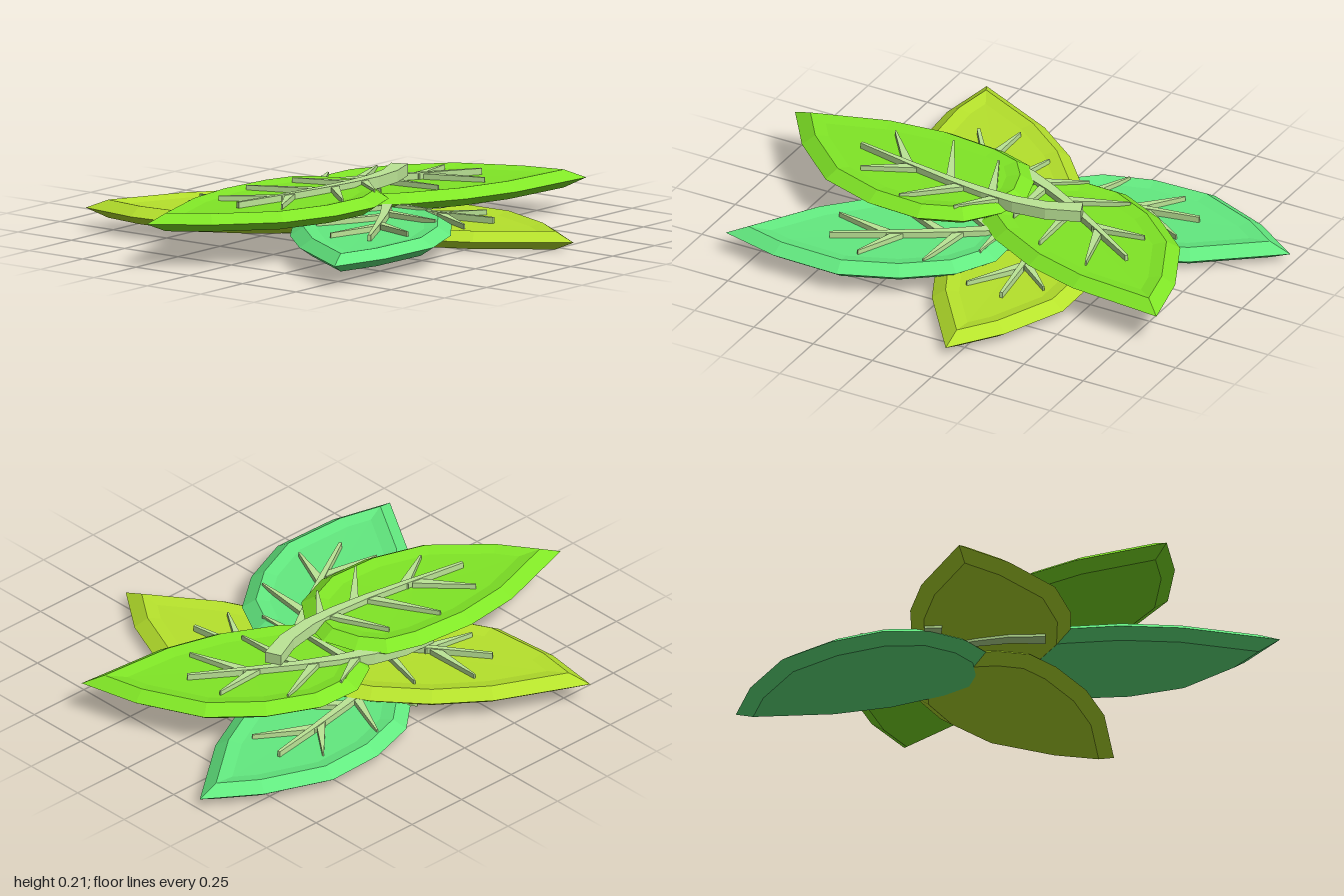
import * as THREE from 'three';

// Leaf outline: x runs from the tip to the base, y is the sideways offset
const OUTLINE = [
  [0, 0], [0.17, 0.17], [0.4, 0.315], [0.63, 0.35], [0.84, 0.325], [0.99, 0.235], [1.06, 0.1],
  [1.07, -0.03], [1.01, -0.15], [0.92, -0.235], [0.78, -0.255], [0.55, -0.237], [0.33, -0.173],
];
const CENTRE = [0.62, 0.05];

// Mitred inward offset of the outline
function inset(points, d) {
  const n = points.length;
  const inward = (a, b) => {
    const dx = b[0] - a[0], dz = b[1] - a[1], l = Math.hypot(dx, dz);
    return [-dz / l, dx / l].map((c) => -c);
  };
  return points.map((p, i) => {
    const a = inward(points[(i + n - 1) % n], p);
    const b = inward(p, points[(i + 1) % n]);
    const k = d / (1 + a[0] * b[0] + a[1] * b[1]);
    return [p[0] + (a[0] + b[0]) * k, p[1] + (a[1] + b[1]) * k];
  });
}

// Bevelled blade made of stacked loops, with a shallow dish on top
function bladeGeometry() {
  const n = OUTLINE.length;
  const loops = [
    [inset(OUTLINE, 0.05), 0],
    [OUTLINE, 0.035],
    [inset(OUTLINE, 0.05), 0.068],
    [inset(OUTLINE, 0.1), 0.058],
  ];
  const pos = [], index = [];
  loops.forEach(([pts, y]) => pts.forEach(([u, v]) => pos.push(u, y, v)));
  const under = loops.length * n, over = under + 1, last = (loops.length - 1) * n;
  pos.push(CENTRE[0], 0, CENTRE[1], CENTRE[0], 0.055, CENTRE[1]);
  for (let i = 0; i < n; i++) {
    const j = (i + 1) % n;
    for (let k = 0; k < last; k += n) {
      index.push(k + i, k + j, k + n + j, k + i, k + n + j, k + n + i);
    }
    index.push(under, j, i, over, last + i, last + j);
  }
  const geo = new THREE.BufferGeometry();
  geo.setAttribute('position', new THREE.Float32BufferAttribute(pos, 3));
  geo.setIndex(index);
  const flat = geo.toNonIndexed();
  flat.computeVertexNormals();
  return flat;
}

// Flat tapering strip along a path, raised between two heights
function veinGeometry(path, startWidth, endWidth, bottom, top) {
  const pts = path.map((p) => new THREE.Vector2(...p));
  const left = [], right = [];
  pts.forEach((p, i) => {
    const t = pts[Math.min(i + 1, pts.length - 1)].clone().sub(pts[Math.max(i - 1, 0)]).normalize();
    const w = THREE.MathUtils.lerp(startWidth, endWidth, i / (pts.length - 1)) / 2;
    left.push(new THREE.Vector2(p.x - t.y * w, p.y + t.x * w));
    right.unshift(new THREE.Vector2(p.x + t.y * w, p.y - t.x * w));
  });
  const geo = new THREE.ExtrudeGeometry(new THREE.Shape([...left, ...right]),
    { depth: top - bottom, bevelEnabled: false });
  geo.rotateX(Math.PI / 2);
  geo.translate(0, top, 0);
  return geo;
}

// Stem and midrib, then side veins as [root, tip]
const MIDRIB = [[1.31, -0.06], [1.2, 0.01], [1.08, 0.05], [0.95, 0.07], [0.8, 0.08], [0.6, 0.082], [0.38, 0.08]];
const SIDE_VEINS = [
  [[0.64, 0.08], [0.48, 0.21]], [[0.86, 0.08], [0.72, 0.28]], [[1.02, 0.06], [0.93, 0.22]],
  [[0.6, 0.08], [0.42, -0.07]], [[0.8, 0.08], [0.63, -0.15]], [[0.98, 0.06], [0.85, -0.14]],
];

// Name, tip, base, height and colour of each leaf
const GREEN = 0x80e626, LIME = 0xb6e22c, TEAL = 0x63ea80;
const LEAVES = [
  ['topRightLeaf', [-1, -0.2], [0.06, -0.02], 0.132, GREEN],
  ['topLeftLeaf', [0.86, 0.395], [-0.03, -0.17], 0.09, GREEN],
  ['frontRightLeaf', [-0.86, 0.57], [0.08, 0.01], 0.047, TEAL],
  ['backRightLeaf', [-0.55, -0.84], [0.1, 0.03], 0.045, LIME],
  ['backLeftLeaf', [0.99, -0.38], [-0.1, -0.18], 0, TEAL],
  ['frontLeaf', [0.22, 0.84], [0.04, -0.24], 0, LIME],
];

export function createModel() {
  const model = new THREE.Group();
  model.name = 'leafCluster';
  const blade = bladeGeometry();
  const midrib = veinGeometry(MIDRIB, 0.065, 0.012, 0.035, 0.08);
  const sides = SIDE_VEINS.map((path) => veinGeometry(path, 0.035, 0.006, 0.045, 0.076));
  const veinMaterial = new THREE.MeshStandardMaterial({ color: 0xbce596, flatShading: true });

  for (const [name, tip, base, height, color] of LEAVES) {
    const leaf = new THREE.Group();
    leaf.name = name;
    const add = (geo, material, part) => {
      const mesh = new THREE.Mesh(geo, material);
      mesh.name = part;
      leaf.add(mesh);
    };
    add(blade, new THREE.MeshStandardMaterial({ color, flatShading: true }), 'blade');
    add(midrib, veinMaterial, 'midrib');
    sides.forEach((geo) => add(geo, veinMaterial, 'sideVein'));
    leaf.position.set(tip[0], height, tip[1]);
    leaf.rotation.y = Math.atan2(tip[1] - base[1], base[0] - tip[0]);
    model.add(leaf);
  }
  return model;
}
